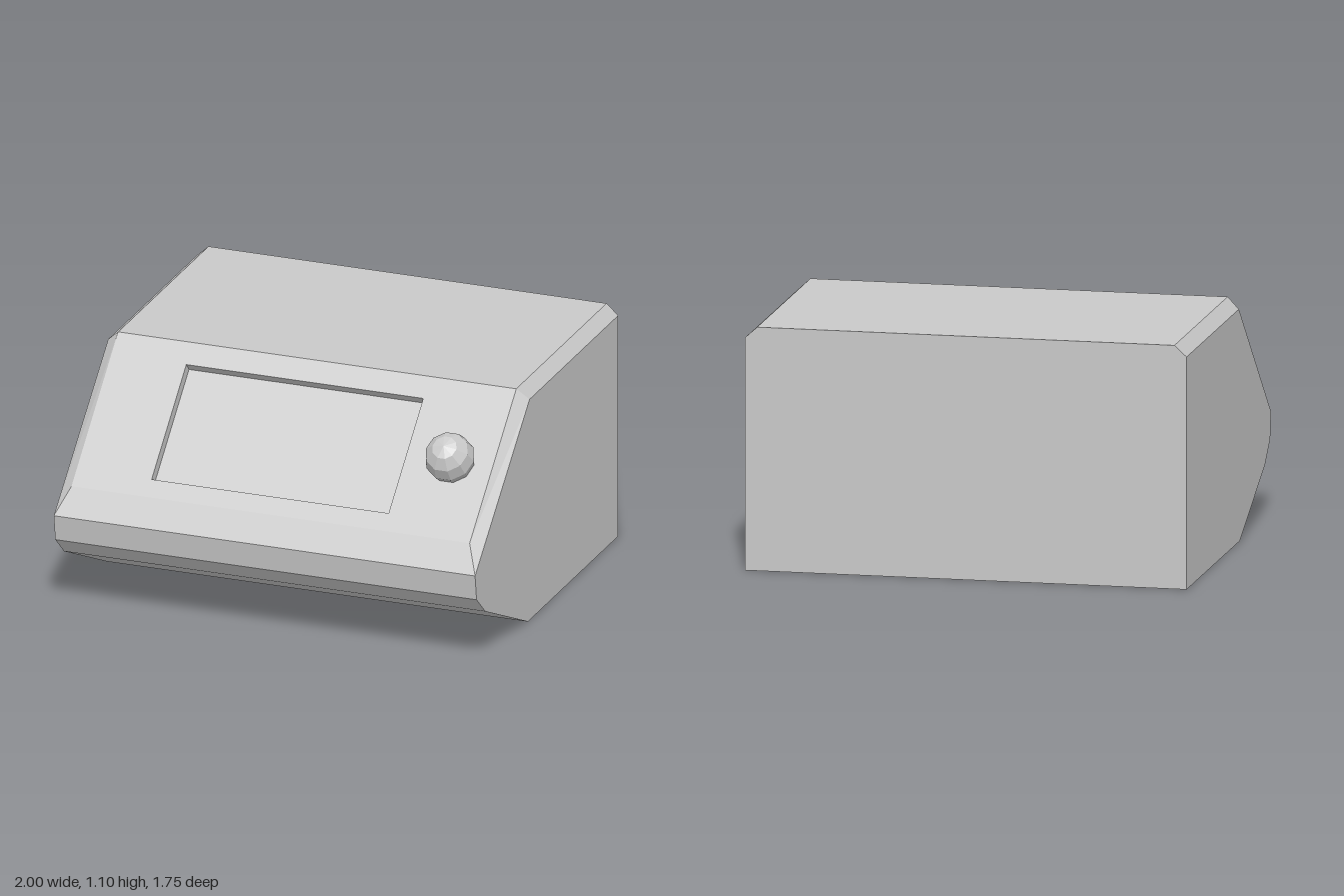
import * as THREE from 'three';

export function createModel() {
  const model = new THREE.Group();
  const grey = new THREE.MeshStandardMaterial({ color: 0xc8c8c8, flatShading: true });
  grey.name = 'light grey';
  const add = (parent, name, geometry) => {
    const mesh = new THREE.Mesh(geometry, grey);
    mesh.name = name;
    parent.add(mesh);
    return mesh;
  };

  // Casing corners on the +x half: the side outline, then the chamfered inner edge
  const backLow = [1, 0, -0.873], frontLow = [1, 0, 0.23], chin = [1, 0.24, 0.75];
  const lip = [1, 0.335, 0.857], nose = [1, 0.455, 0.875];
  const shoulder = [1, 1.05, 0.21], backShoulder = [1, 1.05, -0.873];
  const brow = [0.945, 0.575, 0.8], ridge = [0.945, 1.1, 0.23], backRidge = [0.945, 1.1, -0.873];
  const flip = ([x, y, z]) => [-x, y, z];

  const positions = [];
  const face = (...p) => {
    for (let i = 1; i < p.length - 1; i++) positions.push(...p[0], ...p[i], ...p[i + 1]);
  };

  // Side walls and chamfers, mirrored
  for (const f of [
    [backShoulder, shoulder, nose, lip, chin, frontLow, backLow],
    [backShoulder, backRidge, ridge, shoulder],
    [shoulder, ridge, brow, nose],
  ]) {
    face(...f);
    face(...f.map(flip).reverse());
  }
  // Full-width strips: underside, front bevels and top
  for (const [p, q] of [[backLow, frontLow], [frontLow, chin], [chin, lip], [lip, nose], [nose, brow], [ridge, backRidge]]) {
    face(p, q, flip(q), flip(p));
  }
  // Back wall
  face(backLow, flip(backLow), flip(backShoulder), flip(backRidge), backRidge, backShoulder);

  const casing = new THREE.BufferGeometry();
  casing.setAttribute('position', new THREE.Float32BufferAttribute(positions, 3));
  casing.computeVertexNormals();
  add(model, 'casing', casing);

  // Sloping control panel: local y runs up the slope, local z points outward
  const panel = new THREE.Group();
  panel.name = 'controlPanel';
  panel.position.set(0, 0.8375, 0.515);
  panel.rotation.x = -Math.atan2(0.57, 0.525);
  model.add(panel);

  const depth = 0.048, halfHeight = Math.hypot(0.57, 0.525) / 2;
  const left = -0.59, right = 0.535, low = -0.299, high = 0.277;
  const polygon = (points) => points.map(([x, y]) => new THREE.Vector2(x, y));
  const outline = new THREE.Shape(polygon([
    [-0.945, -halfHeight], [0.945, -halfHeight], [0.945, halfHeight], [-0.945, halfHeight],
  ]));
  outline.holes.push(new THREE.Path(polygon([[left, low], [left, high], [right, high], [right, low]])));
  add(panel, 'panelFrame', new THREE.ExtrudeGeometry(outline, { depth, bevelEnabled: false })).position.z = -depth;

  // Recessed screen with two slanted glare stripes
  const screen = add(panel, 'screen', new THREE.PlaneGeometry(right - left, high - low));
  screen.position.set((left + right) / 2, (low + high) / 2, -depth);
  const slant = 0.206;
  for (const [a, b] of [[-0.19, -0.06], [0.06, 0.285]]) {
    const stripe = new THREE.Shape(polygon([[a - slant, low], [b - slant, low], [b, high], [a, high]]));
    add(panel, 'glareStripe', new THREE.ShapeGeometry(stripe)).position.z = -depth + 0.001;
  }

  // Faceted knob, its axis square to the panel
  const knob = add(panel, 'knob', new THREE.SphereGeometry(0.114, 10, 6).rotateX(Math.PI / 2));
  knob.position.set(0.755, -0.01, 0.045);

  return model;
}
